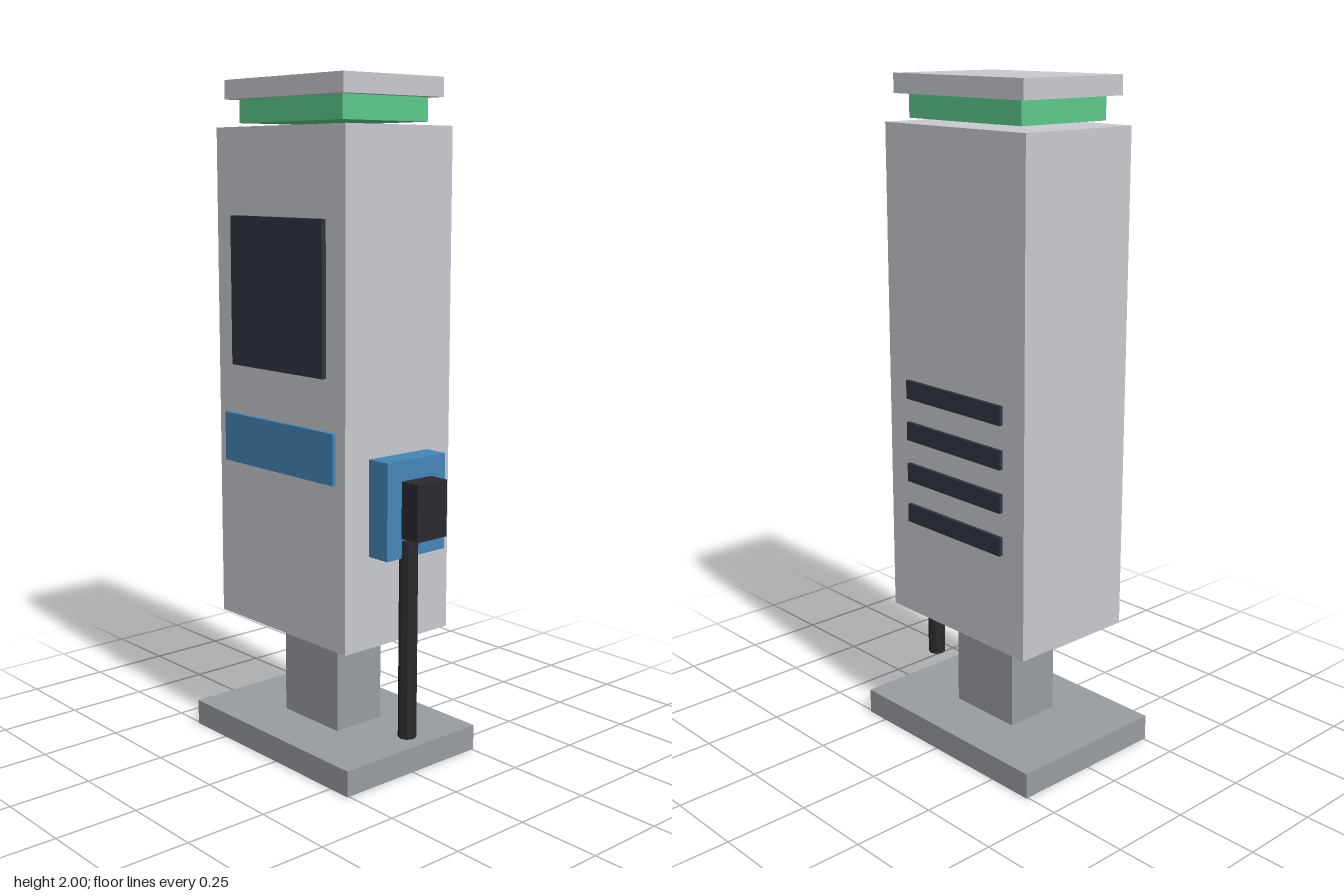
import * as THREE from 'three';

const CX = -0.035; // centre line of the cabinet; the holster sits out on the left side

const paint = (color) => new THREE.MeshStandardMaterial({ color, flatShading: true });

export function createModel() {
  const model = new THREE.Group();
  model.name = 'chargingStation';

  const shell = paint(0xc8cacf);
  const metal = paint(0x989ca0);
  const dark = paint(0x30353f);
  const blue = paint(0x4585b5);
  const green = paint(0x5cc88a);
  const black = paint(0x2b2b2f);

  // Box given by its extents along each axis
  function box(name, material, [x0, x1], [y0, y1], [z0, z1]) {
    const mesh = new THREE.Mesh(new THREE.BoxGeometry(x1 - x0, y1 - y0, z1 - z0), material);
    mesh.position.set((x0 + x1) / 2, (y0 + y1) / 2, (z0 + z1) / 2);
    mesh.name = name;
    model.add(mesh);
    return mesh;
  }
  const across = (w) => [CX - w / 2, CX + w / 2];
  const deep = (d) => [-d / 2, d / 2];

  // Foot, post and cabinet
  box('basePlate', metal, across(0.718), [0, 0.077], deep(0.512));
  box('post', metal, across(0.244), [0.077, 0.386], deep(0.175));
  box('cabinet', shell, across(0.575), [0.386, 1.864], deep(0.405));

  // Status light band under the roof cap
  box('statusLight', green, across(0.457), [1.876, 1.944], deep(0.324));
  box('roofCap', shell, across(0.528), [1.944, 2], deep(0.378));

  // Front panels
  box('screen', dark, across(0.413), [1.17, 1.61], [0.2, 0.217]);
  box('frontStripe', blue, across(0.495), [0.873, 1.021], [0.2, 0.215]);

  // Rear ventilation slats
  for (let i = 0; i < 4; i++) {
    const y = 0.711 + i * 0.128;
    box(`ventSlat${i + 1}`, dark, across(0.402), [y - 0.028, y + 0.028], [-0.214, -0.2]);
  }

  // Side holster, plug and hanging cable
  box('holster', blue, [0.252, 0.328], [0.66, 0.942], deep(0.226));
  box('plug', black, [0.328, 0.392], [0.718, 0.883], deep(0.115));
  const cable = new THREE.Mesh(new THREE.CylinderGeometry(0.027, 0.027, 0.59, 8), black);
  cable.position.set(0.328, 0.416, 0.029);
  cable.name = 'cable';
  model.add(cable);

  return model;
}
